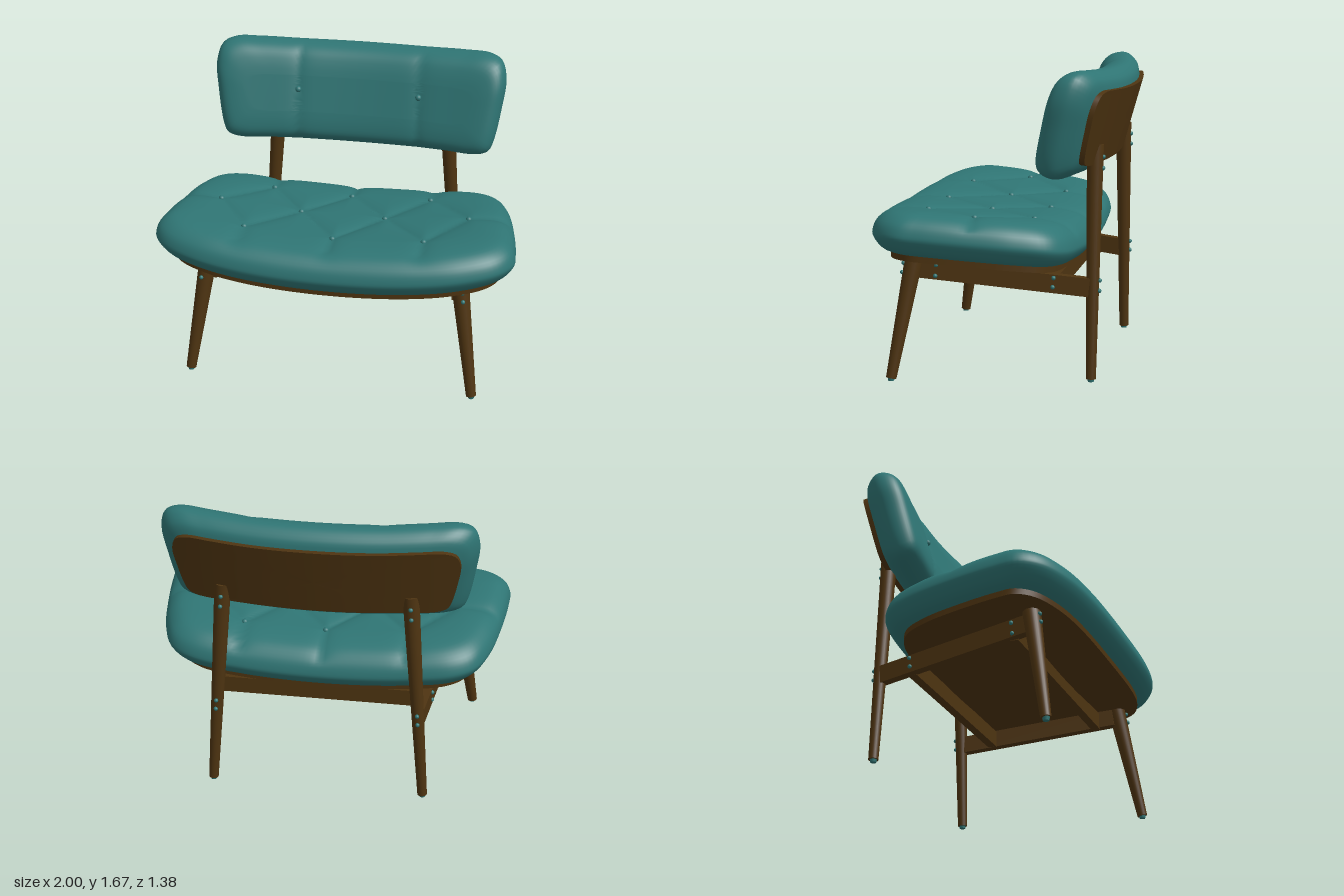
import * as THREE from 'three';

const fabric = new THREE.MeshStandardMaterial({ color: 0x2f7574, name: 'teal fabric' });
const wood = new THREE.MeshStandardMaterial({ color: 0x4e3411, name: 'dark wood' });
const V = (x, y, z) => new THREE.Vector3(x, y, z);
const P = (x, y) => new THREE.Vector2(x, y);

// Mirror a right half (top centre to bottom centre) into a smooth closed outline, counterclockwise.
function outline(half, n) {
  const right = half.map(([x, y]) => V(x, y, 0)).reverse();
  const left = half.slice(1, -1).map(([x, y]) => V(-x, y, 0));
  const curve = new THREE.CatmullRomCurve3([...right, ...left], true, 'centripetal');
  return curve.getSpacedPoints(n).slice(0, n);
}

// Rounded slab: rings follow the outline, inset and raised by an edge profile of (inset, height),
// then close to the centre on both faces. warp bends (u, v, h) into place.
function slab(points, profile, center, size, rings, warp) {
  const n = points.length, pos = [], idx = [];
  const ring = (d, h, t) => {
    for (const p of points) {
      const u = p.x * (1 - d / size[0]) * t;
      const v = center + (p.y - center) * (1 - d / size[1]) * t;
      pos.push(...warp(u, v, h).toArray());
    }
  };
  const first = profile[0], last = profile[profile.length - 1];
  for (let i = 0; i < 8; i++) ring(first.x, first.y, i / 8);
  for (const p of profile) ring(p.x, p.y, 1);
  for (let i = rings - 1; i >= 0; i--) ring(last.x, last.y, i / rings);
  const count = pos.length / 3 / n;
  for (let i = 0; i < count - 1; i++) {
    for (let j = 0; j < n; j++) {
      const k = (j + 1) % n, a = i * n + j, b = i * n + k;
      idx.push(a, b, b + n, a, b + n, a + n);
    }
  }
  const g = new THREE.BufferGeometry();
  g.setAttribute('position', new THREE.Float32BufferAttribute(pos, 3));
  g.setIndex(idx);
  g.computeVertexNormals();
  return g;
}

// Depth of the stitched creases at a point of the cushion face.
function crease(u, v, seams, depth, width) {
  let best = Infinity;
  for (const [ax, ay, bx, by] of seams) {
    const dx = bx - ax, dy = by - ay;
    const t = THREE.MathUtils.clamp(((u - ax) * dx + (v - ay) * dy) / (dx * dx + dy * dy), 0, 1);
    best = Math.min(best, Math.hypot(u - ax - t * dx, v - ay - t * dy));
  }
  return depth * Math.exp(-best / width);
}

export function createModel() {
  const model = new THREE.Group();
  const add = (geometry, material, name, position) => {
    const mesh = new THREE.Mesh(geometry, material);
    mesh.name = name;
    if (position) mesh.position.copy(position);
    model.add(mesh);
    return mesh;
  };
  const ball = new THREE.SphereGeometry(1, 14, 10);
  const stud = (p, r, name) => add(ball, fabric, name, p).scale.setScalar(r);
  const boardProfile = d => [P(d, -0.022), P(d, -0.022), P(d, 0.012), P(d, 0.012)];

  // Seat cushion, with u = x and v = -z
  const seatOutline = outline([
    [0, 0.47], [0.45, 0.46], [0.74, 0.43], [0.85, 0.36], [0.92, 0.2], [0.965, -0.03],
    [0.995, -0.3], [0.993, -0.42], [0.92, -0.525], [0.75, -0.61], [0.5, -0.662], [0, -0.685],
  ], 180);
  const seatButtons = [[0, 0.21], [0, -0.39]];
  const seatSeams = [[0, 0.21, 0, 0.46], [0, -0.39, 0, -0.55]];
  for (const s of [1, -1]) {
    const back = [s * 0.46, 0.21], side = [s * 0.71, -0.06];
    const mid = [s * 0.24, -0.075], front = [s * 0.5, -0.37];
    seatButtons.push(back, side, mid, front);
    seatSeams.push([...back, ...side], [...back, ...mid], [0, 0.21, ...mid], [...side, ...front],
      [...mid, ...front], [...mid, 0, -0.39], [...side, s * 0.98, -0.035],
      [...back, s * 0.46, 0.45], [...front, s * 0.5, -0.53]);
  }
  const seatWarp = (u, v, h) => {
    const top = THREE.MathUtils.smoothstep(h, 0.14, 0.22);
    const dent = top ? top * crease(u, v, seatSeams, 0.022, 0.045) : 0;
    return V(u, 0.61 - 0.06 * v + 0.08 * u * u + h - dent, -v);
  };
  const seatEdge = new THREE.SplineCurve([
    P(0.13, 0), P(0.05, 0.025), P(0.005, 0.08), P(0.002, 0.12),
    P(0.025, 0.175), P(0.08, 0.222), P(0.16, 0.243), P(0.25, 0.25),
  ]).getPoints(24);
  add(slab(seatOutline, seatEdge, -0.1, [1, 0.58], 36, seatWarp), fabric, 'seatCushion');
  add(slab(seatOutline, boardProfile(0.09), -0.1, [1, 0.58], 8, seatWarp), wood, 'seatBoard');
  for (const [u, v] of seatButtons) stud(seatWarp(u, v, 0.252), 0.017, 'seatButton');

  // Backrest cushion, with u = x and v = height from its middle
  const backOutline = outline([
    [0, 0.27], [0.35, 0.273], [0.6, 0.284], [0.74, 0.286], [0.81, 0.255], [0.84, 0.16],
    [0.825, 0], [0.79, -0.19], [0.765, -0.245], [0.7, -0.272], [0.5, -0.278], [0, -0.285],
  ], 160);
  const backSeams = [0.35, -0.35].map(x => [x, -0.27, x, 0.27]);
  const backWarp = (u, v, h) => {
    const face = THREE.MathUtils.smoothstep(h, 0.12, 0.2);
    const dent = face ? face * crease(u, v, backSeams, 0.014, 0.04) : 0;
    return V(u, 1.375 + v + 0.1 * (h - 0.12), -0.622 + h - dent - 0.28 * v + 0.16 * u * u);
  };
  const backEdge = new THREE.SplineCurve([
    P(0.1, 0), P(0.045, 0.025), P(0.005, 0.08), P(0, 0.13),
    P(0.02, 0.185), P(0.06, 0.22), P(0.12, 0.235), P(0.18, 0.24),
  ]).getPoints(24);
  add(slab(backOutline, backEdge, 0, [0.84, 0.285], 30, backWarp), fabric, 'backCushion');
  add(slab(backOutline, boardProfile(0.085), -0.015, [0.84, 0.285], 8, backWarp), wood, 'backBoard');
  for (const x of [0.35, -0.35]) stud(backWarp(x, 0.02, 0.242), 0.018, 'backButton');

  // Tapered round leg with a small foot pad
  const leg = (foot, top, r0, r1, name) => {
    const dir = top.clone().sub(foot), length = dir.length();
    const mesh = add(new THREE.CylinderGeometry(r1, r0, length, 24), wood, name,
      foot.clone().add(top).multiplyScalar(0.5));
    mesh.quaternion.setFromUnitVectors(V(0, 1, 0), dir.normalize());
    add(new THREE.CylinderGeometry(0.02, 0.016, 0.02, 16), fabric, 'footPad', V(foot.x, 0.01, foot.z));
  };
  // Rectangular bar between two points
  const bar = (a, b, width, height, name) => {
    const mesh = add(new THREE.BoxGeometry(width, height, a.distanceTo(b)), wood, name,
      a.clone().add(b).multiplyScalar(0.5));
    mesh.lookAt(b);
  };

  for (const s of [1, -1]) {
    leg(V(s * 0.805, 0.015, 0.5), V(s * 0.71, 0.655, 0.393), 0.028, 0.049, 'frontLeg');
    leg(V(s * 0.595, 0.015, -0.546), V(s * 0.5, 1.265, -0.544), 0.027, 0.045, 'rearLeg');
    bar(V(s * 0.69, 0.6, 0.38), V(s * 0.563, 0.508, -0.53), 0.05, 0.1, 'sideRail');
    // Screw heads on the legs and rails
    const screws = [
      [0.73, 0.63, 0.445], [0.735, 0.58, 0.452], [0.505, 1.2, -0.588], [0.51, 1.14, -0.587],
      [0.555, 0.545, -0.582], [0.559, 0.49, -0.581],
      [0.701, 0.62, 0.275], [0.701, 0.56, 0.28], [0.616, 0.56, -0.345], [0.616, 0.51, -0.34],
    ];
    for (const [x, y, z] of screws) stud(V(s * x, y, z), 0.012, 'screwHead');
  }
  bar(V(-0.665, 0.583, 0.275), V(0.665, 0.583, 0.275), 0.05, 0.095, 'frontCrossbar');
  bar(V(-0.58, 0.525, -0.345), V(0.58, 0.525, -0.345), 0.05, 0.095, 'rearCrossbar');
  return model;
}
